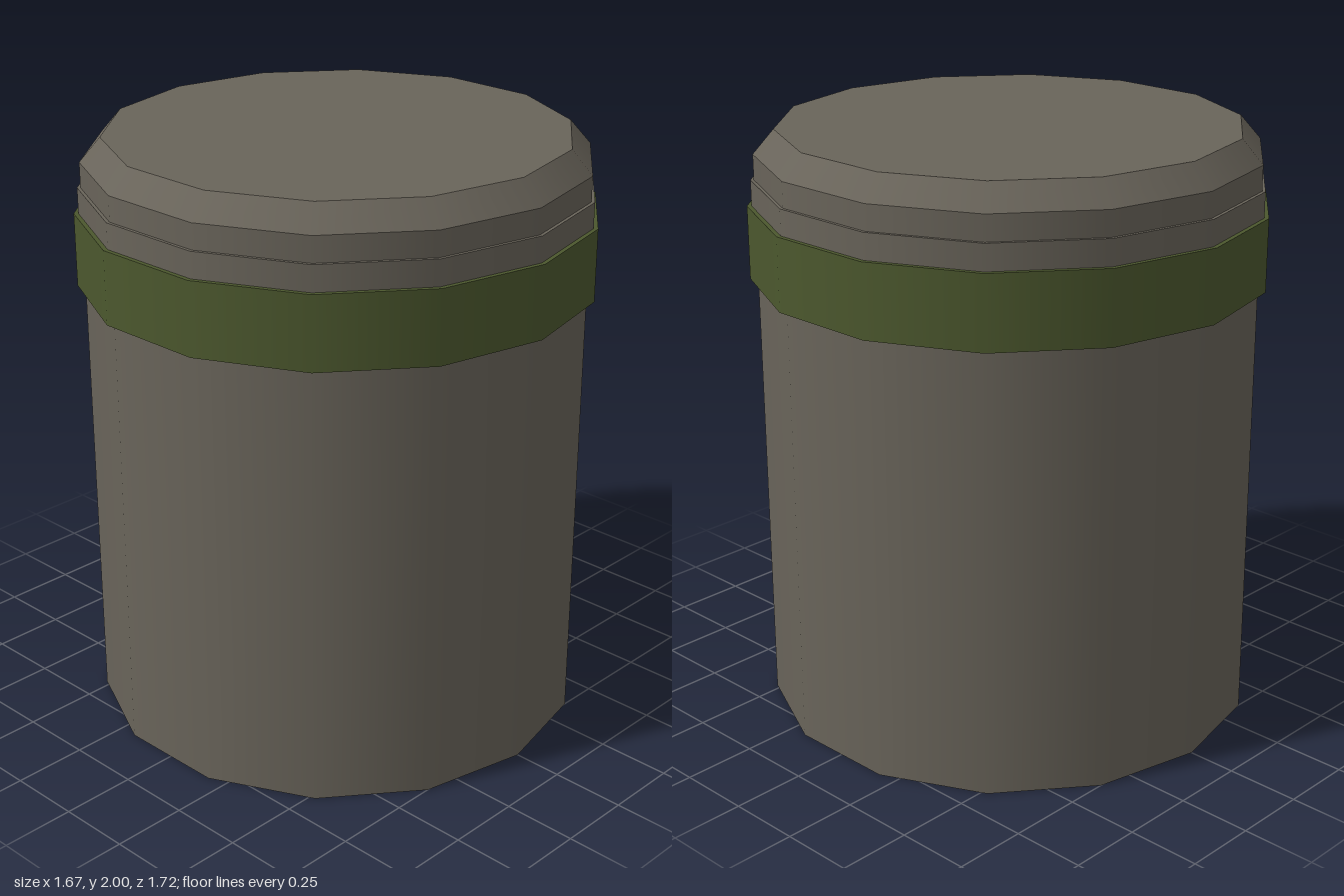
import * as THREE from 'three';

const SIDES = 14;

export function createModel() {
  const model = new THREE.Group();
  const grey = new THREE.MeshStandardMaterial({ name: 'warmGrey', color: 0x69645a });
  const green = new THREE.MeshStandardMaterial({ name: 'oliveGreen', color: 0x4c582e });

  const add = (name, geometry, material) => {
    const mesh = new THREE.Mesh(geometry, material);
    mesh.name = name;
    model.add(mesh);
  };

  // Open wall between two heights, smooth around its sides
  const wall = (name, y0, y1, r0, r1, material) =>
    add(name, new THREE.CylinderGeometry(r1, r0, y1 - y0, SIDES, 1, true).translate(0, (y0 + y1) / 2, 0), material);

  // Flat ring facing up or down, corners lined up with the walls
  const ledge = (name, y, inner, outer, up, material) =>
    add(name, new THREE.RingGeometry(inner, outer, SIDES, 1, Math.PI / 2)
      .rotateX(up ? -Math.PI / 2 : Math.PI / 2).translate(0, y, 0), material);

  // Flat end disc
  const disc = (name, y, r, up) =>
    add(name, new THREE.CircleGeometry(r, SIDES, Math.PI / 2)
      .rotateX(up ? -Math.PI / 2 : Math.PI / 2).translate(0, y, 0), grey);

  // Can body
  disc('base', 0, 0.833, false);
  wall('body', 0, 1.505, 0.833, 0.833, grey);

  // Painted band
  ledge('bandUnderside', 1.505, 0.833, 0.859, false, green);
  wall('band', 1.505, 1.75, 0.859, 0.859, green);
  ledge('bandTop', 1.75, 0.844, 0.859, true, green);

  // Collar and bevelled lid
  wall('collar', 1.75, 1.836, 0.844, 0.844, grey);
  ledge('collarTop', 1.836, 0.833, 0.844, true, grey);
  wall('lidWall', 1.836, 1.92, 0.833, 0.833, grey);
  wall('lidBevel', 1.92, 2, 0.833, 0.764, grey);
  disc('lidTop', 2, 0.764, true);

  return model;
}
